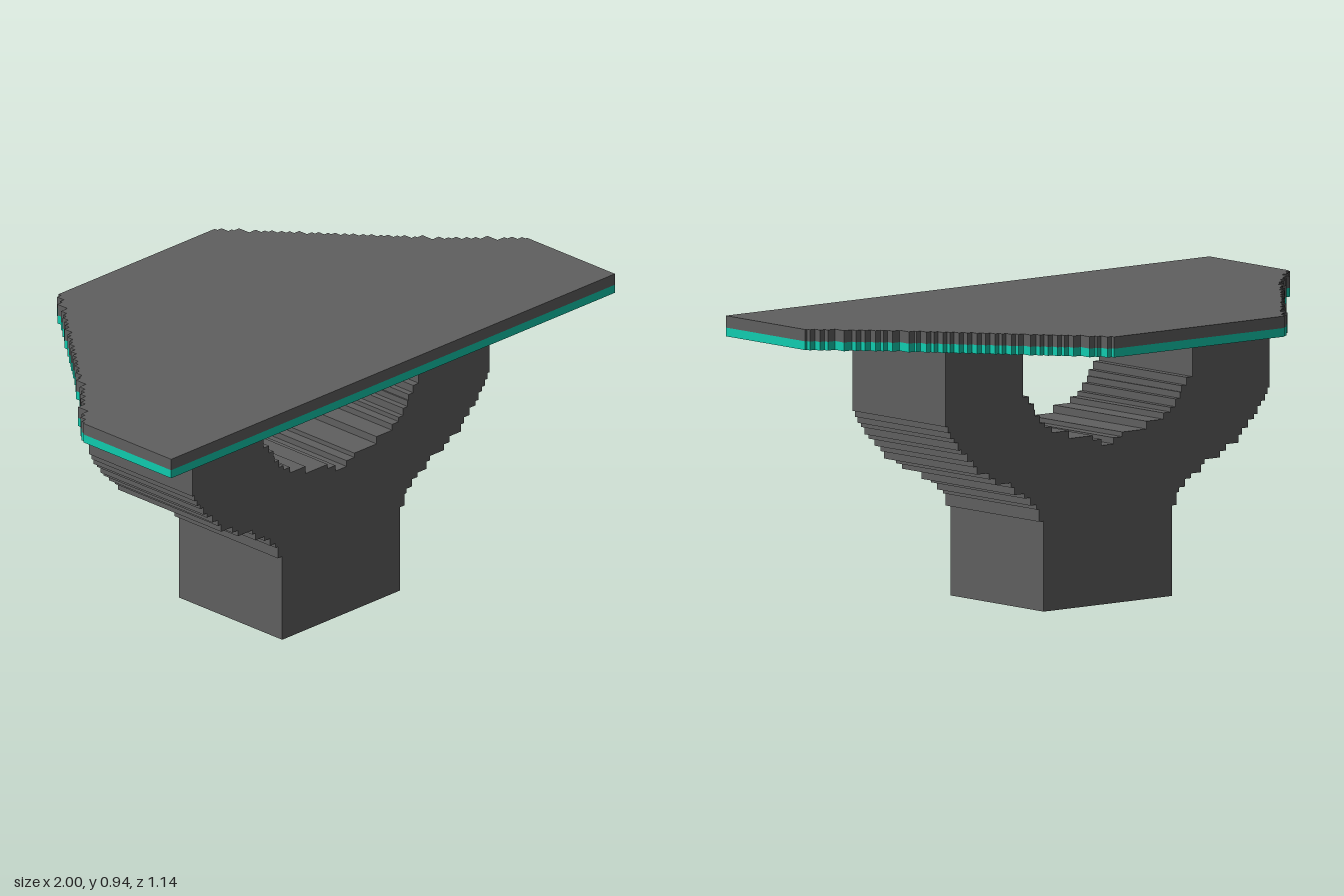
import * as THREE from 'three';

const gray = new THREE.MeshStandardMaterial({ name: 'dark gray', color: 0x606060 });
const teal = new THREE.MeshStandardMaterial({ name: 'teal', color: 0x10cdb0 });

// Half outline made of right-angled steps: each entry moves to y first, then to x.
function stepped(x, levels) {
  const points = [];
  for (const [y, nextX] of levels) {
    points.push([x, y], [nextX, y]);
    x = nextX;
  }
  return points;
}

// Closed shape from the right half of an outline, ordered bottom to top.
function mirroredShape(half) {
  const all = [...half, ...half.map(([x, y]) => [-x, y]).reverse()];
  return new THREE.Shape(all.map(([x, y]) => new THREE.Vector2(x, y)));
}

function extrude(shape, depth) {
  return new THREE.ExtrudeGeometry(shape, { depth, bevelEnabled: false });
}

function part(name, geometry, material, y, z) {
  const mesh = new THREE.Mesh(geometry, material);
  mesh.name = name;
  mesh.position.set(0, y, z);
  return mesh;
}

// Forked pedestal: stepped outer flare, then the stepped hollow between the arms
function pedestalShape() {
  const outer = stepped(0.265, [
    [0.29, 0.285], [0.33, 0.295], [0.345, 0.32], [0.37, 0.345], [0.385, 0.385], [0.41, 0.4],
    [0.425, 0.465], [0.445, 0.49], [0.465, 0.54], [0.49, 0.555], [0.51, 0.58], [0.535, 0.605],
    [0.55, 0.62], [0.575, 0.635], [0.59, 0.65], [0.61, 0.66], [0.63, 0.67],
  ]);
  const hollow = stepped(0.35, [
    [0.695, 0.325], [0.67, 0.305], [0.65, 0.3], [0.63, 0.28], [0.605, 0.26], [0.59, 0.23],
    [0.57, 0.16], [0.545, 0.06], [0.53, 0.025], [0.51, 0.015],
  ]);
  return mirroredShape([[0.265, 0], ...outer, [0.67, 0.874], [0.35, 0.874], ...hollow]);
}

// Table outline, with depth measured towards the back
function tableShape() {
  const backs = [
    -0.18, -0.165, -0.14, -0.125, -0.08, -0.06, -0.04, -0.015, 0, 0.025, 0.07, 0.08, 0.11, 0.125,
    0.15, 0.165, 0.19, 0.21, 0.235, 0.255, 0.28, 0.295, 0.32, 0.335, 0.37, 0.39, 0.41, 0.435,
    0.45, 0.475, 0.52, 0.53, 0.56,
  ];
  const widthAt = (d) => (d < 0 ? 0.82 - d : 0.82 - d * 0.825);
  const levels = backs.map((d, i) => [d, widthAt(((backs[i + 1] ?? 0.574) + d) / 2)]);
  return mirroredShape([[1, -0.572], ...stepped(1, levels), [levels.at(-1)[1], 0.572]]);
}

export function createModel() {
  const model = new THREE.Group();
  model.name = 'forkedTable';

  model.add(part('pedestal', extrude(pedestalShape(), 0.46), gray, 0, -0.12));

  // Two stacked slabs share one outline
  for (const [name, y, height, material] of [
    ['lowerSlab', 0.874, 0.028, teal],
    ['tabletop', 0.902, 0.038, gray],
  ]) {
    model.add(part(name, extrude(tableShape(), height).rotateX(-Math.PI / 2), material, y, 0));
  }
  return model;
}
